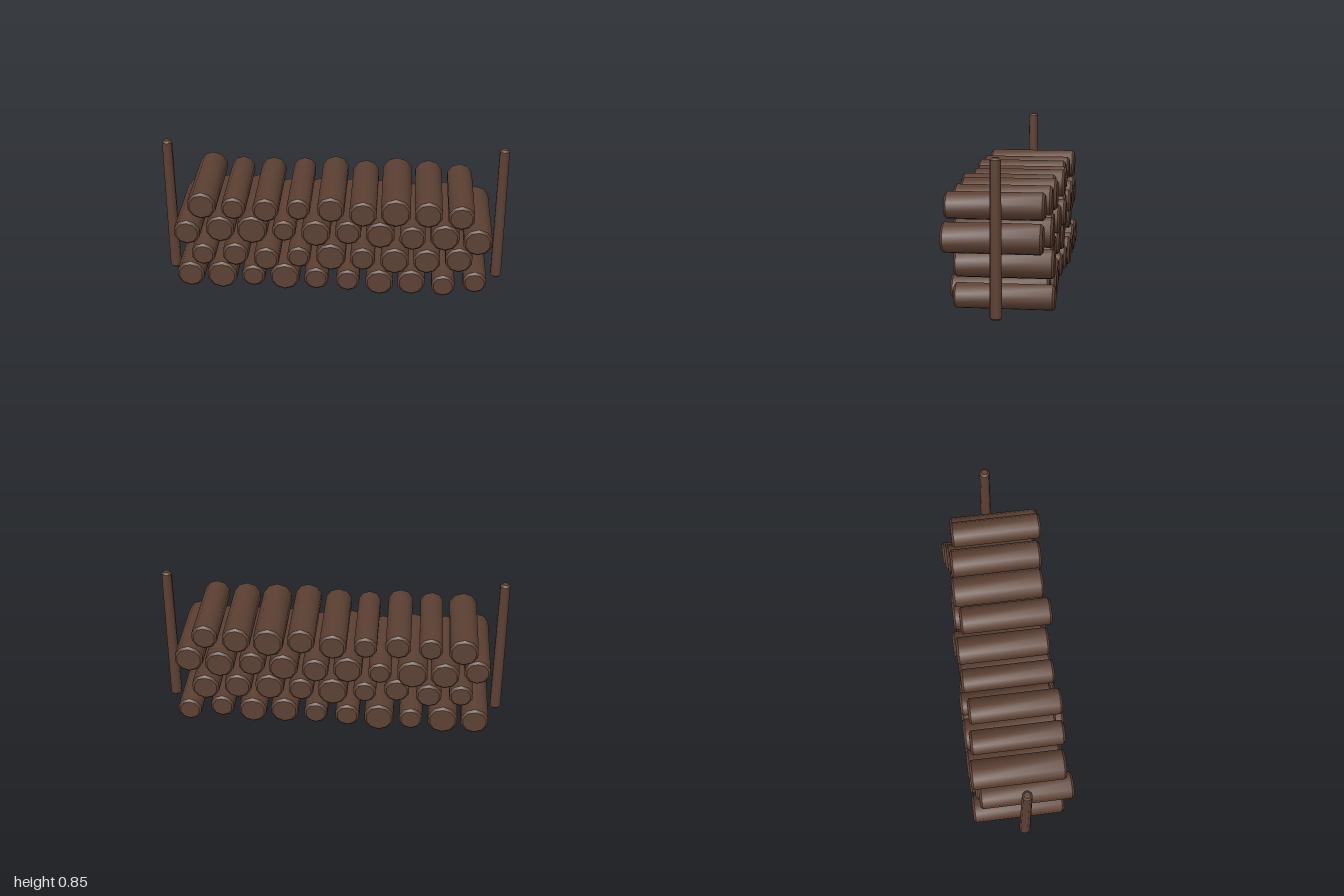
import * as THREE from 'three';
import { toCreasedNormals } from 'three/addons/utils/BufferGeometryUtils.js';

// Ten-sided round timber with chamfered ends, standing on y = 0
function timber(rBottom, rTop, length, bevel) {
  const profile = [
    [0, 0], [rBottom - bevel, 0], [rBottom, bevel],
    [rTop, length - bevel], [rTop - bevel, length], [0, length],
  ].map(([x, y]) => new THREE.Vector2(x, y));
  return toCreasedNormals(new THREE.LatheGeometry(profile, 10), 0.7);
}

// Rows from the ground up: first log x, centre height, radii and front-back shifts
const rows = [
  { x: -0.835, y: 0.09,
    radii: [0.082, 0.089, 0.07, 0.088, 0.072, 0.07, 0.083, 0.082, 0.07, 0.07],
    shifts: [-0.027, -0.027, -0.03, -0.03, -0.02, -0.01, 0, -0.01, 0.015, -0.03] },
  { x: -0.749, y: 0.245,
    radii: [0.07, 0.076, 0.075, 0.068, 0.088, 0.074, 0.085, 0.08, 0.081],
    shifts: [0, -0.01, 0.03, 0, -0.01, 0, 0.01, 0.005, -0.018] },
  { x: -0.835, y: 0.4,
    radii: [0.077, 0.084, 0.09, 0.068, 0.085, 0.077, 0.085, 0.077, 0.085, 0.084],
    shifts: [0.018, -0.03, -0.03, -0.03, -0.012, -0.03, -0.012, 0.01, -0.005, 0.035] },
  { x: -0.749, y: 0.555,
    radii: [0.084, 0.07, 0.075, 0.068, 0.08, 0.08, 0.089, 0.082, 0.076],
    shifts: [-0.02, 0, 0.01, -0.01, -0.015, 0.025, 0, 0.01, 0.033] },
];

export function createModel() {
  const model = new THREE.Group();
  model.name = 'firewoodStack';
  const wood = new THREE.MeshStandardMaterial({ color: 0x5c4033 });
  wood.name = 'brown wood';

  // Stacked logs
  const spacing = 0.185, length = 0.537;
  rows.forEach((row, r) => {
    const group = new THREE.Group();
    group.name = `logRow${r + 1}`;
    row.radii.forEach((radius, i) => {
      const log = new THREE.Mesh(timber(radius, radius, length, 0.013), wood);
      log.name = `log${i + 1}`;
      log.rotation.x = Math.PI / 2;
      log.position.set(row.x + i * spacing, row.y, row.shifts[i] - length / 2);
      group.add(log);
    });
    model.add(group);
  });

  // Upright end posts, slightly tapered
  for (const side of [-1, 1]) {
    const post = new THREE.Mesh(timber(0.033, 0.029, 0.85, 0.011), wood);
    post.name = side > 0 ? 'leftPost' : 'rightPost';
    post.position.x = side * 0.969;
    model.add(post);
  }
  return model;
}
